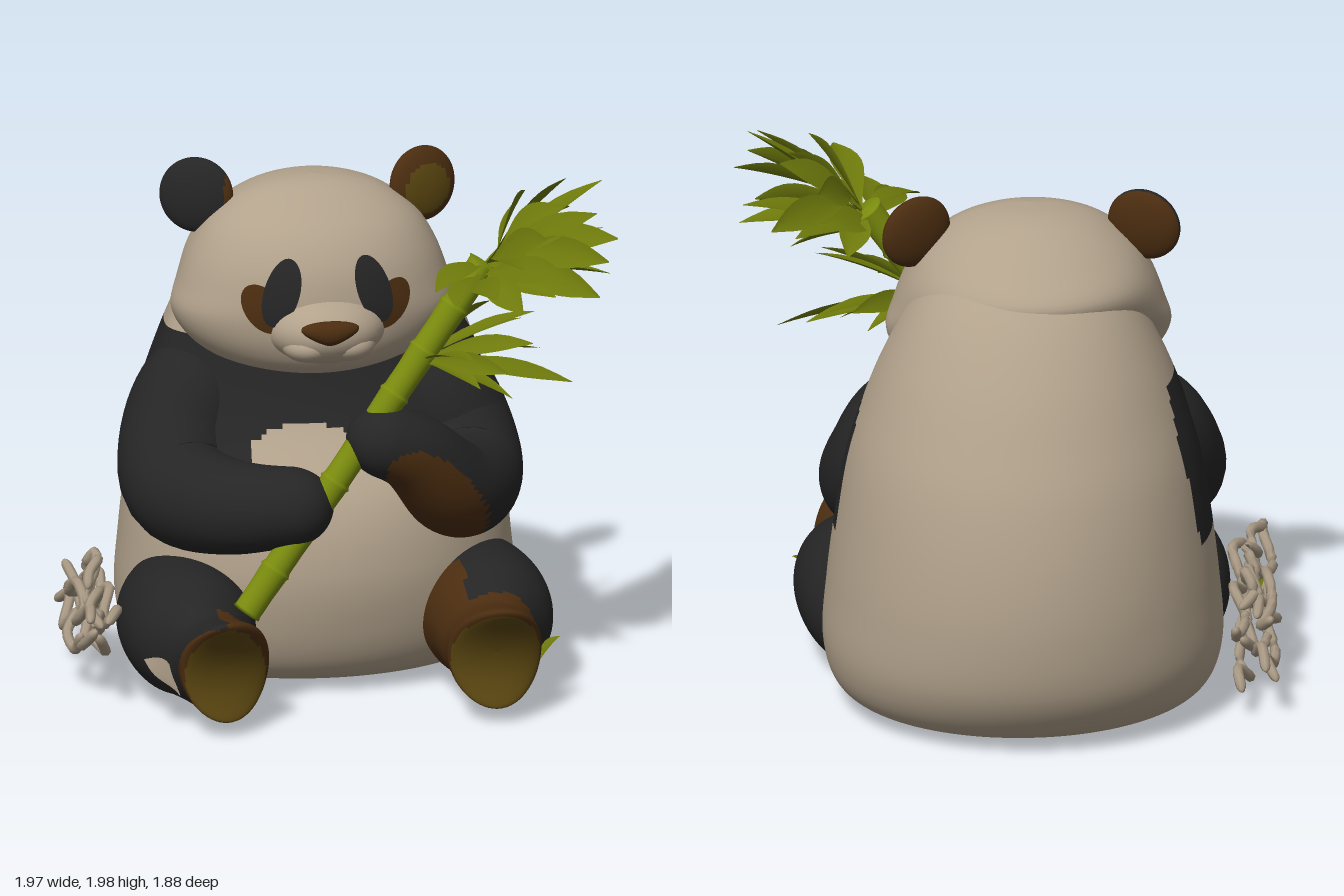
import * as THREE from 'three';

const mat = (name, color, side = THREE.FrontSide) => {
  const m = new THREE.MeshStandardMaterial({ color, side });
  m.name = name;
  return m;
};
const V = (x, y, z) => new THREE.Vector3(x, y, z);

// Smooth surface of closed rings; fn(u, angle) gives a point
function rings(nu, nv, fn) {
  const pos = [], idx = [];
  for (let i = 0; i <= nu; i++)
    for (let j = 0; j < nv; j++) pos.push(...fn(i / nu, (j / nv) * Math.PI * 2).toArray());
  for (let i = 0; i < nu; i++)
    for (let j = 0; j < nv; j++) {
      const a = i * nv + j, b = i * nv + (j + 1) % nv, c = a + nv, d = b + nv;
      idx.push(a, c, b, b, c, d);
    }
  const g = new THREE.BufferGeometry();
  g.setAttribute('position', new THREE.Float32BufferAttribute(pos, 3));
  g.setIndex(idx);
  g.computeVertexNormals();
  return g;
}

// Sort pairs of triangles into material groups by a rule on their centres
function paint(g, count, rule) {
  const buckets = Array.from({ length: count }, () => []);
  const p = g.attributes.position, ix = g.index.array, c = V(), q = V();
  for (let i = 0; i < ix.length; i += 6) {
    const quad = ix.slice(i, i + 6);
    c.set(0, 0, 0);
    quad.forEach(k => c.add(q.fromBufferAttribute(p, k)));
    buckets[rule(c.divideScalar(6))].push(...quad);
  }
  g.setIndex(buckets.flat());
  let start = 0;
  buckets.forEach((b, k) => { g.addGroup(start, b.length, k); start += b.length; });
  return g;
}

// Upright form from rows [y, half width, front z, back z] around (cx, cz)
function upright(rows, cx, cz, nu, nv) {
  const curve = k => new THREE.CatmullRomCurve3(rows.map(r => V(r[1], r[0], r[k])), false, 'catmullrom', 0.5);
  const front = curve(2), back = curve(3);
  const geometry = rings(nu, nv, (u, a) => {
    const p = (Math.sin(a) > 0 ? front : back).getPoint(u);
    return V(cx + p.x * Math.cos(a), p.y, cz + Math.abs(p.z - cz) * Math.sin(a));
  });
  const frontZ = (x, y) => {
    let lo = 0, hi = 1;
    for (let i = 0; i < 30; i++) {
      const m = (lo + hi) / 2;
      if (front.getPoint(m).y < y) lo = m; else hi = m;
    }
    const p = front.getPoint(lo);
    return cz + (p.z - cz) * Math.sqrt(Math.max(0, 1 - ((x - cx) / p.x) ** 2));
  };
  return { geometry, frontZ };
}

// Round-ended limb through points [x, y, z, radius]
function limb(pts, cap = 0.15, nu = 48, nv = 32) {
  const curve = new THREE.CatmullRomCurve3(pts.map(p => V(p[0], p[1], p[2])));
  const radii = new THREE.CatmullRomCurve3(pts.map(p => V(p[3], 0, 0)), false, 'catmullrom', 0.5);
  const len = curve.getLength(), ref = V(0, 1, 1);
  return rings(nu, nv, (i, a) => {
    const u = (1 - Math.cos(Math.PI * i)) / 2;
    const end = Math.min(1, Math.min(u, 1 - u) * len / cap);
    const r = radii.getPoint(curve.getUtoTmapping(u)).x * Math.sqrt(Math.max(0, 1 - (1 - end) ** 2));
    const t = curve.getTangentAt(u), n = V().crossVectors(t, ref).normalize(), b = V().crossVectors(n, t);
    return curve.getPointAt(u).addScaledVector(n, r * Math.cos(a)).addScaledVector(b, r * Math.sin(a));
  });
}

// Folded pointed leaf, rolled about its own length
function leaf(from, to, width, roll = 0) {
  const dir = to.clone().sub(from).normalize(), mid = from.clone().lerp(to, 0.5).add(V(0, 0.04, 0));
  const curve = new THREE.QuadraticBezierCurve3(from, mid, to);
  const side = V().crossVectors(dir, V(-0.5, 0.75, 0.1)).normalize().applyAxisAngle(dir, roll);
  const up = V().crossVectors(side, dir).normalize();
  const g = new THREE.PlaneGeometry(1, 1, 2, 10), p = g.attributes.position;
  for (let i = 0; i < p.count; i++) {
    const u = p.getY(i) + 0.5, s = p.getX(i) * width * Math.max(0.04, Math.sin(Math.PI * u ** 1.3));
    const q = curve.getPoint(u).addScaledVector(side, s).addScaledVector(up, Math.abs(s) * 0.35);
    p.setXYZ(i, q.x, q.y, q.z);
  }
  g.computeVertexNormals();
  return g;
}

export function createModel() {
  const model = new THREE.Group();
  const cream = mat('cream fur', 0xb2a28c), black = mat('black fur', 0x252526), brown = mat('brown fur', 0x4b2d10);
  const olive = mat('olive pad', 0x594510), cane = mat('cane green', 0x7b8c0e);
  const green = mat('leaf green', 0x6d790b, THREE.DoubleSide), straw = mat('dry straw', 0xa79883, THREE.DoubleSide);
  const add = (name, g, m, parent = model) => {
    const mesh = new THREE.Mesh(g, m);
    mesh.name = name;
    parent.add(mesh);
    return mesh;
  };

  // Body with dark chest band and shoulders
  const body = upright([[0.01, 0, -0.2, -0.2], [0.015, 0.38, 0.05, -0.47], [0.04, 0.58, 0.22, -0.69], [0.11, 0.69, 0.33, -0.81],
    [0.27, 0.735, 0.4, -0.91], [0.5, 0.72, 0.43, -0.945], [0.75, 0.69, 0.37, -0.93], [1.0, 0.65, 0.18, -0.875],
    [1.2, 0.59, 0.09, -0.795], [1.4, 0.51, 0.04, -0.695], [1.6, 0.4, 0, -0.555], [1.75, 0.26, -0.05, -0.39],
    [1.82, 0.13, -0.1, -0.29], [1.84, 0, -0.2, -0.2]], 0, -0.2, 170, 200);
  add('body', paint(body.geometry, 3, c => {
    if (c.z > 0 && (c.x - 0.33) ** 2 + (c.y - 1.19) ** 2 < 0.0025) return 1;
    const chest = c.z > -0.15 && c.y < 1.3 && c.y > 1.01 - 1.6 * (c.x + 0.1) ** 2 && c.y > 0.65;
    const back = (c.x < 0 ? -0.52 : -0.25) + 0.5 * Math.max(0, c.y - 1.08);
    const shoulder = Math.abs(c.x) > 0.3 && c.y > 0.7 && c.y < 1.3 && c.z > back;
    return chest || shoulder ? 2 : 0;
  }), [cream, brown, black]);

  // Head blending back into the body, muzzle and nose
  const HX = -0.035;
  const head = upright([[1.185, 0, -0.05, -0.05], [1.195, 0.2, 0.15, -0.1], [1.24, 0.37, 0.25, -0.15], [1.32, 0.475, 0.3, -0.17],
    [1.42, 0.525, 0.32, -0.25], [1.52, 0.5, 0.32, -0.42], [1.64, 0.455, 0.29, -0.515], [1.75, 0.385, 0.22, -0.415],
    [1.84, 0.27, 0.11, -0.29], [1.885, 0.14, 0.03, -0.18], [1.9, 0, -0.05, -0.05]], HX, -0.05, 64, 72);
  add('head', head.geometry, cream);
  const ball = (name, m, p, s) => {
    const mesh = add(name, new THREE.SphereGeometry(1, 32, 24), m);
    mesh.position.set(...p);
    mesh.scale.set(...s);
  };
  ball('muzzle', cream, [HX, 1.4, 0.2], [0.23, 0.14, 0.225]);
  for (const s of [-1, 1]) ball('lip', cream, [HX + s * 0.075, 1.355, 0.3], [0.1, 0.065, 0.108]);
  const noseGeo = new THREE.SphereGeometry(1, 32, 24), np = noseGeo.attributes.position;
  for (let i = 0; i < np.count; i++) np.setX(i, np.getX(i) * (0.8 + 0.45 * np.getY(i)));
  noseGeo.computeVertexNormals();
  const nose = add('nose', noseGeo, brown);
  nose.position.set(HX - 0.01, 1.423, 0.405);
  nose.rotation.x = 0.1;
  nose.scale.set(0.12, 0.047, 0.04);

  // Eye patches laid on the face
  const patch = (name, m, x, y, rx, ry, tilt, lift) => {
    const g = new THREE.RingGeometry(0.001, 1, 40, 6).scale(rx, ry, 1).rotateZ(tilt).translate(x, y, 0);
    const p = g.attributes.position;
    for (let i = 0; i < p.count; i++) p.setZ(i, head.frontZ(p.getX(i), p.getY(i)) + lift);
    g.computeVertexNormals();
    add(name, g, m);
  };
  for (const s of [-1, 1]) {
    patch('eyePatchEdge', brown, HX + s * 0.235, 1.488, 0.068, 0.1, -s * 0.6, 0.005);
    patch('eyePatch', black, HX + s * 0.172, 1.55, 0.063, 0.13, s * 0.32, 0.009);
  }

  // Ears
  for (const s of [-1, 1]) {
    const g = paint(new THREE.SphereGeometry(1, 40, 32), 2, c =>
      s < 0 ? +(c.z > -0.15 && c.x < 0.8) : +(c.z > 0.3 && c.x ** 2 + (c.y + 0.1) ** 2 < 0.45));
    const ear = add(s < 0 ? 'rightEar' : 'leftEar', g, [brown, s < 0 ? black : olive]);
    ear.position.set(HX + s * 0.42, 1.82, -0.11);
    ear.rotation.set(-0.1, s * 0.43, 0);
    ear.scale.set(0.14, 0.14, 0.052);
  }

  // Arms
  add('rightArm', limb([[-0.34, 1.22, -0.22, 0.12], [-0.45, 1.07, -0.15, 0.205], [-0.54, 0.9, -0.05, 0.21], [-0.555, 0.77, 0.1, 0.205],
    [-0.42, 0.76, 0.34, 0.18], [-0.22, 0.79, 0.48, 0.15], [-0.05, 0.81, 0.51, 0.14]]), black);
  add('leftArm', paint(limb([[0.32, 1.21, -0.17, 0.12], [0.42, 1.06, -0.07, 0.2], [0.49, 0.9, -0.03, 0.215], [0.51, 0.77, 0.11, 0.21],
    [0.42, 0.79, 0.33, 0.18], [0.24, 0.98, 0.47, 0.145], [0.01, 1.08, 0.51, 0.13]], 0.15, 90, 64), 2, c => {
    const dx = c.x - 0.34, dy = c.y - 0.78;
    const along = dx * 0.6 - dy * 0.8, across = dx * 0.8 + dy * 0.6;
    return c.z > 0.27 && (along / 0.28) ** 2 + (across / 0.145) ** 2 < 1 ? 1 : 0;
  }), [black, brown]);

  // Legs with upturned feet and pads
  const tilt = y => 0.45 * (y - 0.28) + 3 * (y - 0.28) ** 2;
  for (const s of [-1, 1]) {
    const fx = s < 0 ? -0.48 : 0.515;
    const g = limb([[s * 0.5, 0.27, -0.07, 0.22], [s * 0.55, 0.28, 0.12, 0.24], [s * 0.55, 0.28, 0.36, 0.24],
      [s * 0.52, 0.25, 0.57, 0.18], [fx, 0.28, 0.76, 0.22]], 0.06, 90, 64);
    const p = g.attributes.position;
    for (let i = 0; i < p.count; i++) {
      const z = p.getZ(i), k = THREE.MathUtils.smoothstep(z, 0.45, 0.72);
      p.setX(i, p.getX(i) + k * 0.15 * (fx - p.getX(i)));
      p.setZ(i, z + k * tilt(p.getY(i)));
    }
    g.computeVertexNormals();
    add(s < 0 ? 'rightLeg' : 'leftLeg', paint(g, 3, c => {
      const face = c.z - tilt(c.y) > 0.7;
      if (face && ((c.x - fx) / 0.165) ** 2 + ((c.y - 0.255) / 0.19) ** 2 < 1) return 2;
      const fur = s > 0 ? c.z > 0.57 || (c.x < 0.45 && c.z > 0.32) : c.z > 0.57 && c.x > -0.5;
      return face || fur ? 1 : 0;
    }), [black, brown, olive]);
  }

  // Jointed bamboo cane
  const a = V(-0.38, 0.41, 0.54), b = V(0.52, 1.69, 0.46), len = a.distanceTo(b), N = 8, prof = [new THREE.Vector2(0, 0)];
  for (let i = 0; i < N; i++)
    for (const [t, r] of [[0, 0.056], [0.06, 0.052], [0.5, 0.052], [0.92, 0.055], [0.97, 0.06]])
      prof.push(new THREE.Vector2(r, (i + t) / N * len));
  prof.push(new THREE.Vector2(0, len));
  const stem = add('bambooCane', new THREE.LatheGeometry(prof, 20), cane);
  stem.position.copy(a);
  stem.quaternion.setFromUnitVectors(V(0, 1, 0), b.clone().sub(a).normalize());

  // Bamboo leaves: tips fan out from two nodes
  const leaves = new THREE.Group();
  leaves.name = 'bambooLeaves';
  model.add(leaves);
  const upper = [[0.95, 1.99, 0.5], [0.9, 1.92, 0.68], [0.85, 1.94, 0.3], [0.99, 1.8, 0.62], [0.98, 1.76, 0.35], [0.98, 1.63, 0.5],
    [0.9, 1.62, 0.75], [0.9, 1.76, 0.08], [0.8, 1.68, 0.2], [0.75, 1.75, 0.93], [0.6, 1.78, 0.88], [0.92, 1.78, 0.83],
    [0.5, 1.66, 0.85], [0.36, 1.62, 0.78], [0.7, 1.86, 0.78], [0.72, 1.86, 0.17], [0.8, 1.57, 0.4], [0.75, 1.6, 0.66],
    [0.3, 1.65, 0.68], [0.8, 1.9, 0.5], [0.7, 1.7, 0.28], [0.62, 1.56, 0.72], [0.6, 1.56, 0.3]];
  const lower = [[0.7, 1.5, 0.5], [0.66, 1.44, 0.7], [0.6, 1.42, 0.1], [0.84, 1.22, 0.5], [0.75, 1.3, 0.32], [0.6, 1.2, 0.6],
    [0.55, 1.36, 0.8], [0.45, 1.3, 0.78], [0.7, 1.38, 0.2], [0.52, 1.24, 0.36], [0.42, 1.42, 0.82]];
  upper.forEach((t, i) => add('upperLeaf',
    leaf(V(0.46 + (i % 4) * 0.035, 1.6 + (i % 4) * 0.04, 0.46), V(...t), 0.12, 0.6 * Math.sin(i * 2.4)), green, leaves));
  lower.forEach((t, i) => add('lowerLeaf', leaf(V(0.27, 1.32, 0.47), V(...t), 0.08, 0.6 * Math.sin(i * 2.4)), green, leaves));

  // Dry tangled stalks beside the right leg
  const tangle = new THREE.Group();
  tangle.name = 'dryTangle';
  model.add(tangle);
  for (let k = 0; k < 8; k++) {
    const pts = [], z0 = -0.52 + (k % 3) * 0.13, z1 = 0.12 + ((k * 2) % 5) * 0.09;
    for (let i = 0; i <= 7; i++) {
      const u = i / 7, x = -0.78 - (k % 4) * 0.035 - 0.07 * u + 0.025 * Math.sin(i * 2.3 + k * 1.7);
      pts.push([x, 0.12 + ((k * 3) % 8) * 0.038 + 0.06 * u + 0.05 * Math.sin(i * 1.9 + k * 2.1), z0 + (z1 - z0) * u, 0.02]);
    }
    add('dryStalk', limb(pts, 0.04, 36, 7), straw, tangle);
  }

  // Loose scraps around the feet
  add('dryScrap', leaf(V(-0.64, 0.13, 0.62), V(-0.77, 0.27, 0.6), 0.08), straw);
  add('greenScrap', leaf(V(-0.87, 0.25, 0.0), V(-0.89, 0.36, 0.16), 0.07), green);
  add('greenScrap', leaf(V(0.68, 0.15, 0.6), V(0.78, 0.27, 0.58), 0.06), green);
  return model;
}
